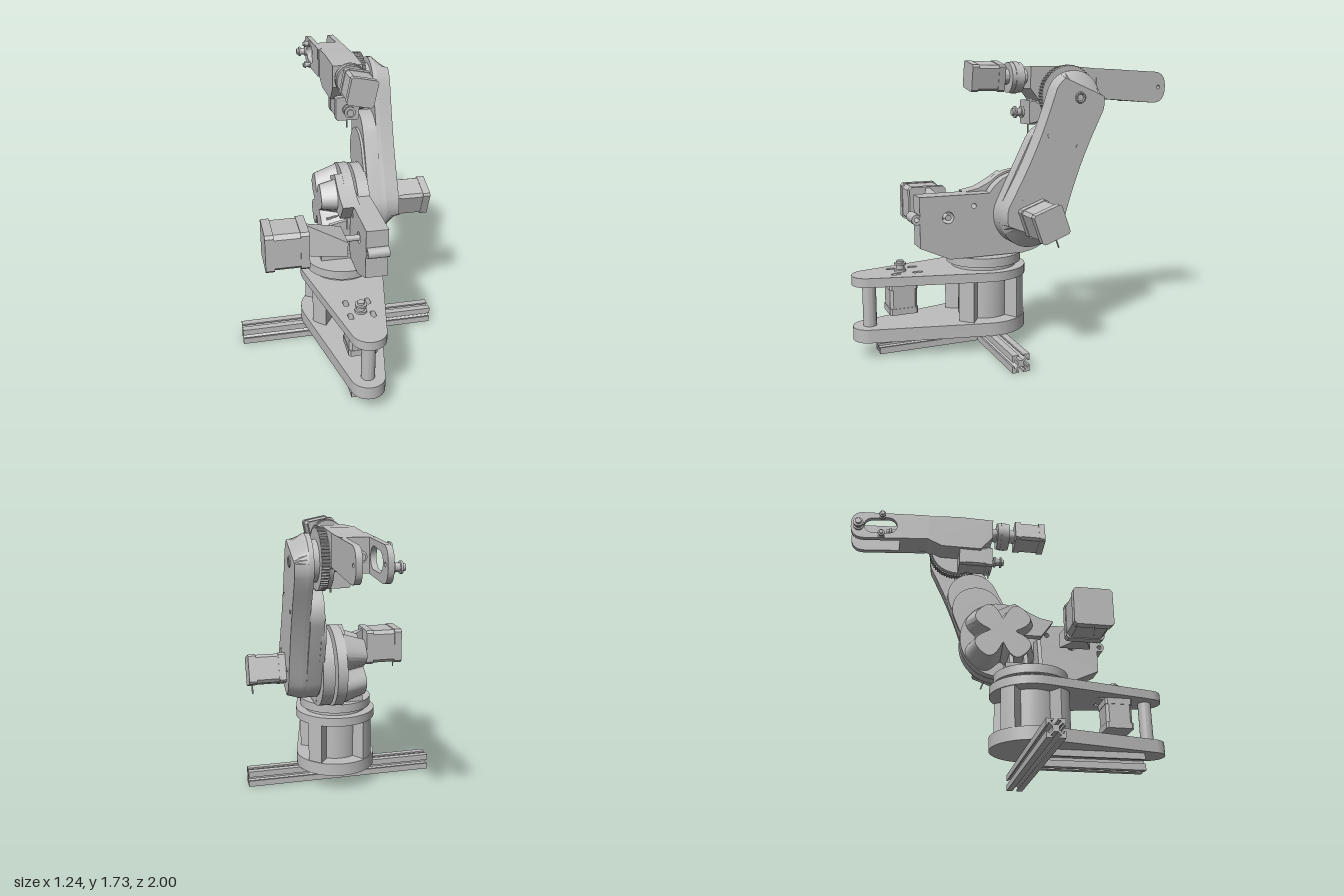
import * as THREE from 'three';
import { toCreasedNormals } from 'three/addons/utils/BufferGeometryUtils.js';

const grey = new THREE.MeshStandardMaterial({ color: 0xbebebe });
grey.name = 'machine grey';
const PI = Math.PI;

function add(parent, name, geo, x = 0, y = 0, z = 0) {
  const m = new THREE.Mesh(toCreasedNormals(geo, 0.5), grey);
  m.name = name;
  m.position.set(x, y, z);
  parent.add(m);
  return m;
}
const V = (p) => p.map(([a, b]) => new THREE.Vector2(a, b));
const extrude = (pts, depth, holes = []) => {
  const s = new THREE.Shape(V(pts));
  holes.forEach((h) => s.holes.push(new THREE.Path(V(h))));
  return new THREE.ExtrudeGeometry(s, { depth, bevelEnabled: false });
};
// Outlines for side() hold [-z, y]; outlines for flat() hold [x, -z]
const side = (pts, x0, x1, holes) => extrude(pts, x1 - x0, holes).rotateY(PI / 2).translate(x0, 0, 0);
const flat = (pts, y0, y1, holes) => extrude(pts, y1 - y0, holes).rotateX(-PI / 2).translate(0, y0, 0);
const zy = (pts) => pts.map(([z, y]) => [-z, y]);

// Outline around two circles joined by tangents
function hull(u0, v0, r0, u1, v1, r1, n = 20) {
  const a = Math.atan2(v1 - v0, u1 - u0), t = Math.acos((r0 - r1) / Math.hypot(u1 - u0, v1 - v0));
  const pts = [];
  const arc = (u, v, r, from, to) => {
    for (let i = 0; i <= n; i++) {
      const w = from + (to - from) * i / n;
      pts.push([u + r * Math.cos(w), v + r * Math.sin(w)]);
    }
  };
  arc(u1, v1, r1, a - t, a + t);
  arc(u0, v0, r0, a + t, a + 2 * PI - t);
  return pts;
}
// Outline around one centre with a radius rule
const ring = (u, v, n, radius) => Array.from({ length: n }, (_, i) => {
  const a = i / n * 2 * PI, r = radius(a, i);
  return [u + r * Math.cos(a), v + r * Math.sin(a)];
});
const hole = (u, v, r) => ring(u, v, 20, () => r);

// Solid between two side outlines with the same point count
function loft(a, xa, b, xb) {
  const pos = [], n = a.length;
  const A = a.map(([u, v]) => [xa, v, -u]), B = b.map(([u, v]) => [xb, v, -u]);
  const tri = (...p) => p.forEach((q) => pos.push(...q));
  for (let i = 0; i < n; i++) {
    const j = (i + 1) % n;
    tri(A[i], A[j], B[j]);
    tri(A[i], B[j], B[i]);
  }
  THREE.ShapeUtils.triangulateShape(V(b), []).forEach(([i, j, k]) => tri(B[i], B[j], B[k]));
  THREE.ShapeUtils.triangulateShape(V(a), []).forEach(([i, j, k]) => tri(A[k], A[j], A[i]));
  const g = new THREE.BufferGeometry();
  g.setAttribute('position', new THREE.Float32BufferAttribute(pos, 3));
  return g;
}
const cyl = (r, len, axis = 'y', seg = 40) => {
  const g = new THREE.CylinderGeometry(r, r, len, seg);
  return axis === 'x' ? g.rotateZ(PI / 2) : axis === 'z' ? g.rotateX(PI / 2) : g;
};

// Square motor along local z with chamfered corners, end plates and optional cable
function motor(parent, name, s, len, cable = true) {
  const g = new THREE.Group();
  g.name = name;
  const sq = (h, c) => [[h, -h + c], [h, h - c], [h - c, h], [-h + c, h], [-h, h - c], [-h, -h + c], [-h + c, -h], [h - c, -h]];
  add(g, 'motorBody', extrude(sq(s * 0.48, s * 0.1), len * 0.9), 0, 0, -len * 0.45);
  for (const e of [-0.5, 0.3]) add(g, 'motorEnd', extrude(sq(s / 2, s * 0.07), len * 0.2), 0, 0, e * len);
  if (cable) add(g, 'motorCable', cyl(0.005, 0.06, 'y', 8), 0, -s / 2 - 0.025, len * 0.4);
  parent.add(g);
  return g;
}
// Belt pulley with two flanges along local y
function pulley(parent, name, r, len) {
  const p = [[0, 0], [r, 0], [r, 0.2], [r * 0.7, 0.22], [r * 0.7, 0.6], [r, 0.62], [r, 0.78], [r * 0.6, 0.8], [r * 0.6, 1], [0, 1]];
  return add(parent, name, new THREE.LatheGeometry(V(p.map(([a, b]) => [a, b * len])), 24));
}

export function createModel() {
  const root = new THREE.Group();
  root.name = 'robotArm';
  const part = (name) => {
    const g = new THREE.Group();
    g.name = name;
    root.add(g);
    return g;
  };

  // Slotted rails
  const rails = part('rails'), slot = [];
  const quarter = [[0.052, -0.052], [0.052, -0.013], [0.042, -0.013], [0.042, -0.027], [0.036, -0.027], [0.018, -0.011],
    [0.018, 0.011], [0.036, 0.027], [0.042, 0.027], [0.042, 0.013], [0.052, 0.013]];
  for (let k = 0; k < 4; k++) {
    const c = [1, 0, -1, 0][k], s = [0, 1, 0, -1][k];
    quarter.forEach(([x, y]) => slot.push([x * c - y * s, x * s + y * c]));
  }
  add(rails, 'crossRail', side(slot, -0.62, 0.615), 0, 0.052, 0.178);
  add(rails, 'frontRail', extrude(slot, 0.62), -0.005, 0.052, 0.23);

  // Teardrop base plates, front post and open drum with four posts
  const base = part('base'), BX = 0.023;
  const tear = hull(BX, -0.18, 0.257, BX, -0.9, 0.1, 28);
  const slots = [[-0.045, 0.62], [-0.045, 0.75], [0.085, 0.62], [0.085, 0.75]]
    .map(([x, z]) => hull(x, -z - 0.015, 0.015, x, -z + 0.015, 0.015, 8));
  add(base, 'bottomPlate', flat(tear, 0.105, 0.185));
  add(base, 'topPlate', flat(tear, 0.44, 0.495, slots));
  add(base, 'frontPost', cyl(0.04, 0.255), BX, 0.3125, 0.9);
  add(base, 'drumCore', cyl(0.16, 0.255), BX, 0.3125, 0.18);
  for (let k = 0; k < 4; k++) {
    const a = k * PI / 2 + PI / 4, pts = [];
    for (let i = 0; i <= 6; i++) pts.push([0.25 * Math.cos(a + (i / 6 - 0.5) * 0.4), 0.25 * Math.sin(a + (i / 6 - 0.5) * 0.4)]);
    for (let i = 6; i >= 0; i--) pts.push([0.15 * Math.cos(a + (i / 6 - 0.5) * 0.4), 0.15 * Math.sin(a + (i / 6 - 0.5) * 0.4)]);
    add(base, 'drumPost', flat(pts, 0.185, 0.44), BX, 0, 0.18);
  }
  const bm = motor(base, 'baseMotor', 0.17, 0.19, false);
  bm.rotation.x = PI / 2;
  bm.position.set(BX, 0.345, 0.71);
  pulley(base, 'basePulley', 0.035, 0.065).position.set(BX, 0.495, 0.71);

  // Turntable with pedestal and ribs
  const turn = part('turntable');
  add(turn, 'turntableNeck', cyl(0.2, 0.03), BX, 0.507, 0.18);
  add(turn, 'turntableDisc', cyl(0.23, 0.055, 'y', 56), BX, 0.5475, 0.18);
  add(turn, 'pedestalFoot', new THREE.BoxGeometry(0.185, 0.035, 0.26), -0.025, 0.592, 0.13);
  for (const z of [0.04, 0.13, 0.22]) {
    add(turn, 'pedestalRib', extrude([[-0.1, 0.6], [0.075, 0.6], [0.075, 0.83], [-0.06, 0.8]], 0.025), 0, 0, z - 0.0125);
  }

  // Shoulder block, discs and lobed cap
  const sh = part('shoulder');
  const SZ = 0.01, SY = 0.83;
  add(sh, 'shoulderBlock', side(zy([[0.63, 0.96], [0.63, 0.66], [0.45, 0.58], [-0.02, 0.58], [-0.08, 0.7], [-0.08, 0.96]]),
    0.065, 0.195, [hole(-0.46, 0.83, 0.035), hole(-0.3, 0.89, 0.015)]));
  add(sh, 'tensionTube', side(hole(-0.647, 0.83, 0.031), 0.067, 0.193, [hole(-0.647, 0.83, 0.014)]));
  add(sh, 'shoulderDisc', cyl(0.247, 0.072, 'x', 56), 0.158, SY, -SZ);
  add(sh, 'capDisc', cyl(0.253, 0.06, 'x', 56), 0.075, SY, -SZ);
  const lobes = (r, d) => ring(SZ, SY, 72, (a) => r - d * Math.pow(0.5 - 0.5 * Math.cos(4 * a - PI), 3));
  add(sh, 'lobedCap', loft(lobes(0.2, 0.12), -0.095, lobes(0.25, 0.09), 0.05));
  add(sh, 'capFin', side(zy([[0.33, 0.96], [0.24, 0.978], [0.17, 1.012], [0.08, 1.068], [-0.05, 1], [-0.05, 0.85], [0.25, 0.85]]), 0, 0.105));

  // Shoulder drive: motor, wedge bracket and shaft
  const drive = part('shoulderDrive');
  const sm = motor(drive, 'shoulderMotor', 0.235, 0.25);
  sm.rotation.y = -PI / 2;
  sm.position.set(-0.365, 0.835, 0.455);
  const quad = (z, y, hz, hy) => zy([[z + hz, y - hy], [z - hz, y - hy], [z - hz, y + hy], [z + hz, y + hy]]);
  add(drive, 'wedgeBracket', loft(quad(0.455, 0.845, 0.012, 0.1), -0.24, quad(0.46, 0.815, 0.1, 0.045), -0.02));
  add(drive, 'driveShaft', cyl(0.018, 0.22, 'x', 20), 0.09, 0.83, 0.46);

  // Upper arm: layered inner plates and a waisted outer shell with bevelled ends
  const arm = part('upperArm');
  const du = 0.28, dv = 0.675, L = Math.hypot(du, dv), cu = du / L, cv = dv / L;
  const link = (r0, z1, y1, r1) => hull(SZ, SY, r0, -z1, y1, r1);
  const arcs = link(0.19, -SZ - du, SY + dv, 0.172);
  const waisted = (from, to, sign) => [1, 2, 3, 4, 5, 6, 7].map((i) => {
    const t = i / 8, pinch = sign * 0.022 * Math.sin(t * PI);
    return [from[0] + (to[0] - from[0]) * t + pinch * cv, from[1] + (to[1] - from[1]) * t - pinch * cu];
  });
  const full = [...arcs.slice(0, 21), ...waisted(arcs[20], arcs[21], 1), ...arcs.slice(21), ...waisted(arcs[41], arcs[0], -1)];
  const cut = full.map(([u, v]) => {
    const along = (u - SZ) * cu + (v - SY) * cv, across = (u - SZ) * cv - (v - SY) * cu;
    const over = Math.max(0, along - L, -along) / 0.18;
    const s = Math.min(L + 0.08, Math.max(-0.1, along)), w = across * (0.96 - 0.1 * over);
    return [SZ + s * cu + w * cv, SY + s * cv - w * cu];
  });
  add(arm, 'innerRib', side(link(0.185, -0.14, 1.1, 0.165), 0.185, 0.215));
  add(arm, 'innerPlate', side(link(0.19, -0.17, 1.205, 0.167), 0.2, 0.285));
  add(arm, 'armPlate', side(full, 0.285, 0.312));
  add(arm, 'armShell', loft(full, 0.312, cut, 0.392));
  add(arm, 'elbowEye', new THREE.TorusGeometry(0.026, 0.008, 10, 24).rotateY(PI / 2), 0.392, 1.52, -0.29);
  for (const [z, y] of [[-0.095, 1.305], [-0.28, 1.235], [0.065, 0.93], [-0.13, 0.85]]) {
    add(arm, 'armScrew', cyl(0.014, 0.004, 'x', 16), 0.392, y, z);
  }
  const am = motor(arm, 'armMotor', 0.18, 0.228);
  am.rotation.set(0.35, PI / 2, 0, 'XYZ');
  am.position.set(0.502, 0.83, -0.01);

  // Elbow: toothed wheel, hub and lower wrist motor
  const elbow = part('elbow');
  add(elbow, 'toothedWheel', side(ring(0.29, 1.53, 240, (a, i) => (i % 4 < 2 ? 0.18 : 0.173)), 0.2, 0.245));
  add(elbow, 'elbowHub', cyl(0.12, 0.06, 'x'), 0.265, 1.52, -0.29);
  add(elbow, 'elbowDisc', cyl(0.17, 0.03, 'x'), 0.188, 1.53, -0.29);
  motor(elbow, 'wristMotor', 0.145, 0.22).position.set(0.11, 1.43, -0.17);
  const wp = pulley(elbow, 'wristMotorPulley', 0.035, 0.07);
  wp.rotation.x = PI / 2;
  wp.position.set(0.11, 1.43, -0.045);

  // Forearm: body, roll drive and fork
  const fore = part('forearm');
  add(fore, 'forearmBody', side(zy([[-0.06, 1.7], [-0.06, 1.57], [-0.14, 1.47], [-0.4, 1.47], [-0.49, 1.51], [-0.49, 1.69], [-0.3, 1.705]]), 0.018, 0.198));
  add(fore, 'rollShaft', cyl(0.045, 0.2, 'z'), 0.11, 1.64, 0);
  add(fore, 'rollCoupling', cyl(0.09, 0.08, 'z'), 0.11, 1.635, 0.015);
  add(fore, 'couplingBand', cyl(0.094, 0.03, 'z'), 0.11, 1.635, 0.015);
  const rm = motor(fore, 'rollMotor', 0.158, 0.205, false);
  rm.position.set(0.113, 1.643, 0.2);
  rm.rotation.z = -0.2;
  add(fore, 'forkBlock', side(zy([[-0.49, 1.69], [-0.49, 1.51], [-0.68, 1.495], [-0.68, 1.683]]), 0.012, 0.198));
  const prong = [[0.5, 1.69], [0.5, 1.508]];
  for (let i = 0; i <= 20; i++) {
    const a = -PI / 2 + i / 20 * PI;
    const bulge = Math.pow(Math.abs(Math.cos(a)), 0.8), rise = Math.sign(Math.sin(a)) * Math.pow(Math.abs(Math.sin(a)), 0.8);
    prong.push([0.91 + 0.09 * bulge, 1.574 + 0.097 * rise]);
  }
  add(fore, 'leftProng', side(prong, 0.166, 0.2, [hole(0.95, 1.575, 0.012)]));
  add(fore, 'rightProng', side(prong, 0.01, 0.042, [hull(0.76, 1.585, 0.06, 0.86, 1.577, 0.055, 12), hole(0.95, 1.575, 0.012)]));
  for (const [r, len, x, y, z] of [[0.032, 0.07, 0.012, 1.56, -0.95], [0.022, 0.05, 0.012, 1.65, -0.8], [0.022, 0.05, 0.012, 1.505, -0.8]]) {
    const p = pulley(fore, 'wristPulley', r, len);
    p.rotation.z = PI / 2;
    p.position.set(x, y, z);
  }
  const fp = pulley(fore, 'forkPulley', 0.032, 0.09);
  fp.rotation.x = -PI / 2;
  fp.position.set(0.105, 1.59, -0.68);
  return root;
}
